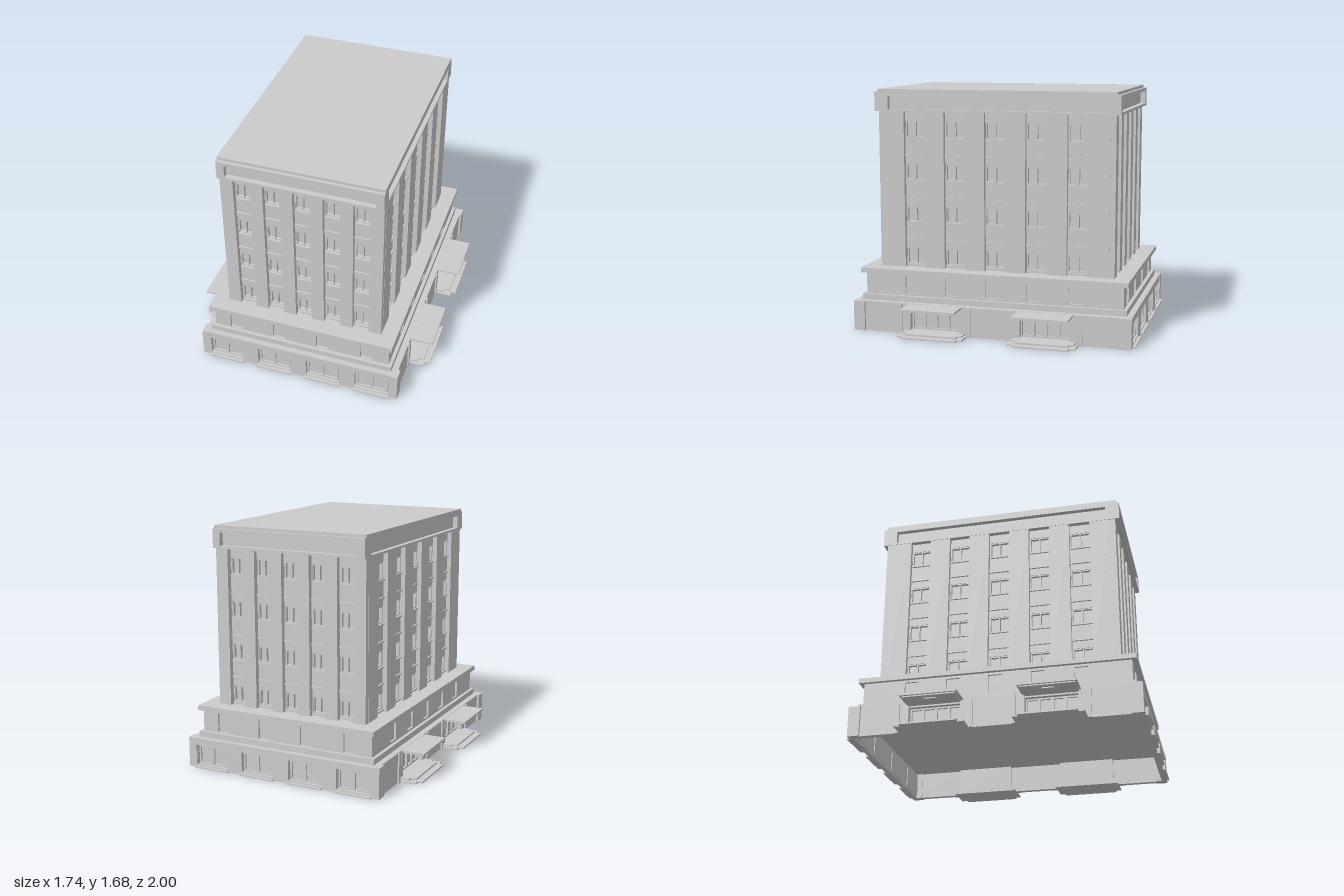
import * as THREE from 'three';

const mat = new THREE.MeshStandardMaterial({ color: 0xcccccc, flatShading: true });

// Box given by its limits on each axis
function box(parent, name, x0, x1, y0, y1, z0, z1) {
  const m = new THREE.Mesh(new THREE.BoxGeometry(x1 - x0, y1 - y0, z1 - z0), mat);
  m.position.set((x0 + x1) / 2, (y0 + y1) / 2, (z0 + z1) / 2);
  m.name = name;
  parent.add(m);
  return m;
}

// Upright slab facing +z with rectangular holes [x0, x1, y0, y1]
function wall(parent, name, x0, x1, y0, y1, z0, z1, holes) {
  const rect = (P, a, b, c, d) => {
    const p = new P();
    p.moveTo(a, c); p.lineTo(b, c); p.lineTo(b, d); p.lineTo(a, d); p.closePath();
    return p;
  };
  const s = rect(THREE.Shape, x0, x1, y0, y1);
  for (const h of holes) s.holes.push(rect(THREE.Path, ...h));
  const m = new THREE.Mesh(new THREE.ExtrudeGeometry(s, { depth: z1 - z0, bevelEnabled: false }), mat);
  m.position.z = z0;
  m.name = name;
  parent.add(m);
}

// Frame with a central mullion filling a hole
function sash(parent, x0, x1, y0, y1, z0, z1, t) {
  const c = (x0 + x1) / 2;
  wall(parent, 'windowFrame', x0, x1, y0, y1, z0, z1,
    [[x0 + t, c - t / 2, y0 + t, y1 - t], [c + t / 2, x1 - t, y0 + t, y1 - t]]);
}

// Both opposite copies of a facade built facing +z
function mirrorFacade(root, facade, angle) {
  const other = facade.clone();
  facade.rotation.y = angle;
  other.rotation.y = angle + Math.PI;
  root.add(facade, other);
}

const FLOORS = [[0.455, 0.57], [0.755, 0.867], [1.05, 1.165], [1.347, 1.462]];

// Tower facade: piers, recessed bays, windows, sills and ledges
function towerFacade(parent, o) {
  const { bays, bayHalf, winHalf, end, wallZ, pierZ } = o;
  const holes = [];
  for (const c of bays) {
    FLOORS.forEach(([y0, y1], i) => {
      holes.push([c - winHalf, c + winHalf, y0, y1]);
      sash(parent, c - winHalf, c + winHalf, y0, y1, wallZ - 0.025, wallZ - 0.004, 0.008);
      box(parent, 'windowSill', c - winHalf, c + winHalf, y0 - 0.012, y0, wallZ - 0.01, wallZ + 0.012);
      if (i) box(parent, 'spandrelLedge', c - bayHalf, c + bayHalf, y0 - 0.13, y0 - 0.118, wallZ - 0.01, wallZ + 0.012);
    });
  }
  wall(parent, 'bayWall', -end + 0.04, end - 0.04, 0.43, 1.54, wallZ - 0.03, wallZ, holes);
  const edges = [-end, ...bays.flatMap(c => [c - bayHalf, c + bayHalf]), end];
  for (let i = 0; i < edges.length; i += 2)
    box(parent, 'pier', edges[i], edges[i + 1], 0.43, 1.535, wallZ - 0.03, pierZ);
}

// Entrance on a side wall: doors, surround, canopy and steps
function entrance(parent, c) {
  const g = new THREE.Group();
  g.name = 'entrance';
  g.position.x = c;
  for (const s of [-1, 1]) {
    const a = s * 0.235, b = s * 0.26;
    box(g, 'entrancePilaster', Math.min(a, b), Math.max(a, b), 0, 0.205, 0.68, 0.722);
    const p = s * 0.175, q = s * 0.195;
    box(g, 'doorPost', Math.min(p, q), Math.max(p, q), 0.02, 0.19, 0.66, 0.712);
  }
  for (let i = 0; i < 4; i++) {
    const x0 = -0.175 + i * 0.0875;
    wall(g, 'doorLeaf', x0, x0 + 0.0875, 0.02, 0.18, 0.655, 0.672,
      [[x0 + 0.01, x0 + 0.0775, 0.035, 0.165]]);
  }
  box(g, 'doorLintel', -0.195, 0.195, 0.176, 0.195, 0.66, 0.7);
  box(g, 'canopy', -0.193, 0.193, 0.195, 0.208, 0.66, 0.872);
  box(g, 'canopySoffit', -0.18, 0.18, 0.187, 0.196, 0.66, 0.858);
  box(g, 'canopyLamp', -0.04, 0.04, 0.18, 0.188, 0.78, 0.82);
  // Two stepped tiers
  box(g, 'lowerStep', -0.233, 0.233, 0, 0.011, 0.64, 0.83);
  box(g, 'lowerStepFront', -0.193, 0.193, 0, 0.011, 0.82, 0.863);
  box(g, 'upperStep', -0.215, 0.215, 0.01, 0.023, 0.64, 0.775);
  box(g, 'upperStepFront', -0.185, 0.185, 0.01, 0.023, 0.77, 0.815);
  parent.add(g);
}

export function createModel() {
  const root = new THREE.Group();
  root.name = 'building';

  // Solid cores and horizontal bands; the ground floor is hollow below
  box(root, 'groundFloorCeiling', -0.705, 0.705, 0.19, 0.21, -0.97, 0.97);
  box(root, 'lowerLedge', -0.668, 0.668, 0.205, 0.25, -0.937, 0.937);
  box(root, 'mezzanineCore', -0.63, 0.63, 0.245, 0.41, -0.895, 0.895);
  box(root, 'mezzanineCornice', -0.67, 0.67, 0.402, 0.436, -0.945, 0.945);
  box(root, 'towerCore', -0.505, 0.505, 0.43, 1.54, -0.77, 0.77);
  box(root, 'crownCore', -0.53, 0.53, 1.527, 1.66, -0.825, 0.825);
  box(root, 'roofSlab', -0.565, 0.565, 1.655, 1.68, -0.84, 0.84);
  for (const sx of [-1, 1]) for (const sz of [-1, 1]) {
    const corner = box(root, 'groundCornerPier', -0.03, 0.03, 0, 0.21, -0.04, 0.04);
    corner.position.set(sx * 0.697, 0.105, sz * 0.94);
  }

  // Front and back
  const front = new THREE.Group();
  front.name = 'endFacade';
  towerFacade(front, {
    bays: [-0.412, -0.206, 0, 0.206, 0.412], bayHalf: 0.058, winHalf: 0.053,
    end: 0.56, wallZ: 0.796, pierZ: 0.833,
  });
  const shops = [-0.541, -0.181, 0.181, 0.541];
  const shopHoles = shops.map(c => [c - 0.123, c + 0.123, 0.02, 0.16]);
  wall(front, 'groundWall', -0.7, 0.7, 0, 0.209, 0.945, 0.977, shopHoles);
  for (const c of shops) {
    box(front, 'shopGlass', c - 0.123, c + 0.123, 0.02, 0.16, 0.94, 0.947);
    sash(front, c - 0.115, c + 0.115, 0.022, 0.158, 0.945, 0.96, 0.012);
    box(front, 'shopStep', c - 0.13, c + 0.13, 0, 0.011, 0.95, 1);
  }
  const upper = [-0.483, -0.16, 0.16, 0.483];
  wall(front, 'mezzanineWall', -0.644, 0.644, 0.245, 0.405, 0.88, 0.912,
    upper.map(c => [c - 0.045, c + 0.045, 0.255, 0.398]));
  wall(front, 'crownPanel', -0.565, 0.565, 1.527, 1.66, 0.82, 0.863, [[-0.51, 0.51, 1.545, 1.635]]);
  mirrorFacade(root, front, 0);

  // Long sides
  const side = new THREE.Group();
  side.name = 'sideFacade';
  const sideBays = [-0.578, -0.289, 0, 0.289, 0.578];
  towerFacade(side, {
    bays: sideBays, bayHalf: 0.073, winHalf: 0.07, end: 0.795, wallZ: 0.53, pierZ: 0.562,
  });
  const doorHoles = [-0.39, 0.39].map(c => [c - 0.195, c + 0.195, 0.012, 0.19]);
  wall(side, 'groundWall', -0.95, 0.95, 0, 0.209, 0.675, 0.711, doorHoles);
  for (const c of [-0.39, 0.39]) {
    box(side, 'doorBacking', c - 0.2, c + 0.2, 0, 0.195, 0.645, 0.657);
    entrance(side, c);
  }
  wall(side, 'mezzanineWall', -0.885, 0.885, 0.245, 0.405, 0.615, 0.644,
    sideBays.map(c => [c - 0.045, c + 0.045, 0.265, 0.385]));
  wall(side, 'crownPanel', -0.825, 0.825, 1.527, 1.66, 0.525, 0.565, [[-0.765, 0.765, 1.542, 1.632]]);
  mirrorFacade(root, side, Math.PI / 2);

  return root;
}
